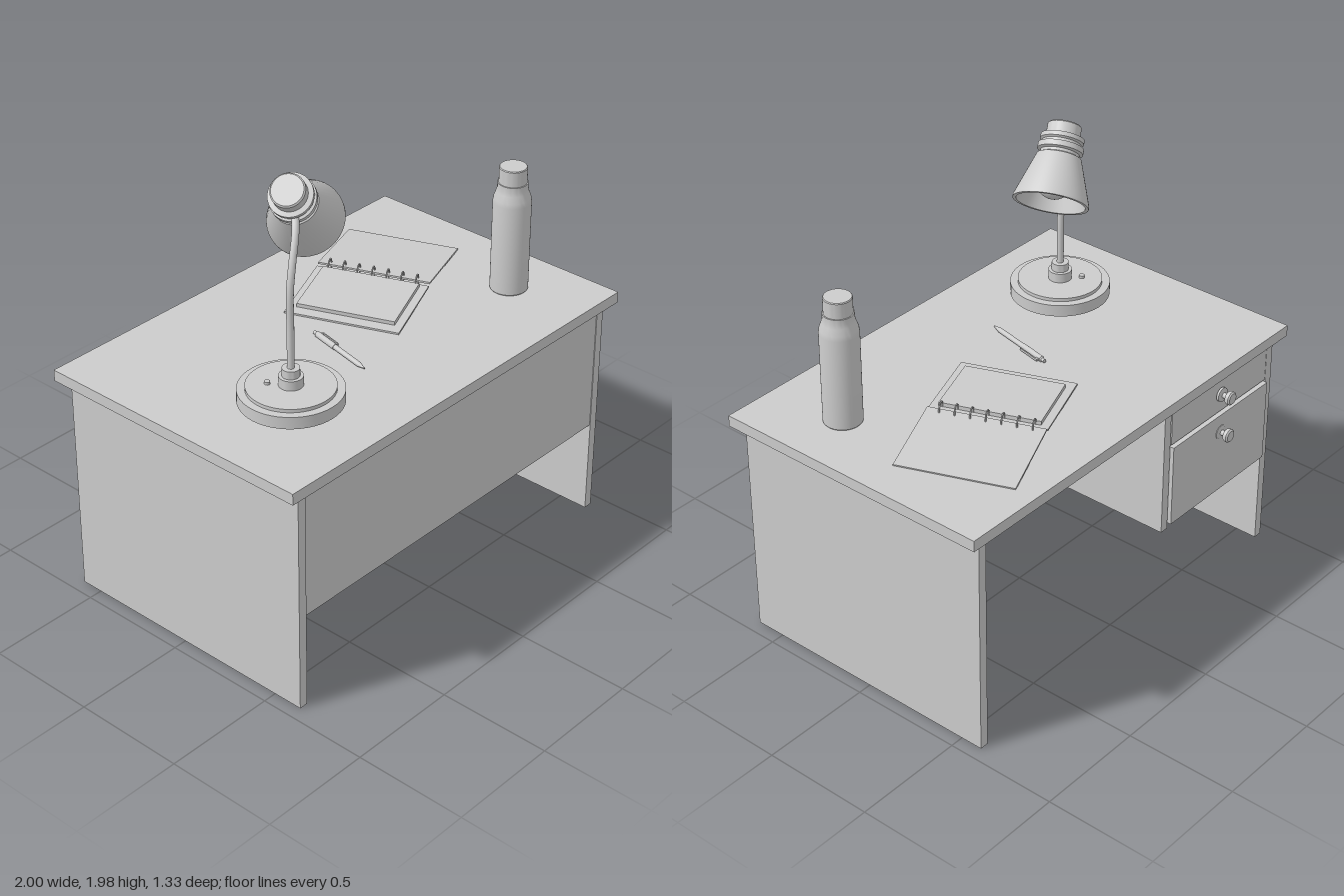
import * as THREE from 'three';
import { toCreasedNormals } from 'three/addons/utils/BufferGeometryUtils.js';

const material = new THREE.MeshStandardMaterial({ color: 0xcccccc });

function add(parent, name, geometry, x = 0, y = 0, z = 0) {
  const mesh = new THREE.Mesh(geometry, material);
  mesh.name = name;
  mesh.position.set(x, y, z);
  parent.add(mesh);
  return mesh;
}

function group(parent, name, x = 0, y = 0, z = 0) {
  const g = new THREE.Group();
  g.name = name;
  g.position.set(x, y, z);
  parent.add(g);
  return g;
}

// Box given by its extents on each axis
function slab(parent, name, [x0, x1], [y0, y1], [z0, z1]) {
  return add(parent, name, new THREE.BoxGeometry(x1 - x0, y1 - y0, z1 - z0),
    (x0 + x1) / 2, (y0 + y1) / 2, (z0 + z1) / 2);
}

// Turned solid from [radius, height] points, with sharp edges kept
function turned(points, sides = 40) {
  const profile = points.map(([r, y]) => new THREE.Vector2(r, y));
  return toCreasedNormals(new THREE.LatheGeometry(profile, sides), 0.5);
}

function buildDesk(root) {
  const desk = group(root, 'desk');
  slab(desk, 'deskTop', [-1, 1], [1.01, 1.06], [-0.63, 0.665]);
  slab(desk, 'leftSidePanel', [0.9, 0.94], [0, 1.01], [-0.6, 0.635]);
  slab(desk, 'rightSidePanel', [-0.94, -0.9], [0, 1.01], [-0.6, 0.635]);
  slab(desk, 'frontPanel', [-0.9, 0.9], [0.43, 1.01], [0.6, 0.632]);

  // Drawer unit, opening to the back
  slab(desk, 'drawerDivider', [-0.24, -0.2], [0.415, 1.01], [-0.6, 0.6]);
  slab(desk, 'drawerFloor', [-0.9, -0.24], [0.44, 0.46], [-0.58, 0.6]);
  slab(desk, 'upperDrawer', [-0.895, -0.245], [0.83, 1.005], [-0.602, 0.5]);
  slab(desk, 'lowerDrawer', [-0.895, -0.245], [0.44, 0.82], [-0.615, 0.5]);
  const knob = turned([[0, 0], [0.032, 0], [0.032, 0.01], [0.012, 0.014], [0.012, 0.032],
    [0.026, 0.036], [0.03, 0.044], [0.03, 0.054], [0.024, 0.06], [0, 0.06]], 24);
  for (const y of [0.92, 0.735]) {
    add(desk, 'drawerKnob', knob, -0.57, y, -0.608).rotation.x = -Math.PI / 2;
  }
}

function buildLamp(root) {
  const lamp = group(root, 'lamp');
  const x = -0.562, z = 0.25;
  add(lamp, 'lampBase', turned([[0, 1.09], [0.213, 1.09], [0.213, 1.143], [0.18, 1.143],
    [0.18, 1.158], [0, 1.158]], 48), x, 0, z);
  add(lamp, 'stemCollar', turned([[0, 1.155], [0.05, 1.155], [0.05, 1.2], [0.036, 1.2],
    [0.036, 1.235], [0, 1.235]], 32), x, 0, z);
  add(lamp, 'switchButton', new THREE.CylinderGeometry(0.012, 0.012, 0.02, 16), -0.62, 1.16, 0.178);

  // Upright stem bending towards the head
  const path = new THREE.CatmullRomCurve3([
    [x, 1.2, z], [x, 1.4, z], [x, 1.57, z], [-0.54, 1.67, 0.242], [-0.485, 1.785, 0.21], [-0.44, 1.845, 0.165],
  ].map((p) => new THREE.Vector3(...p)));
  add(lamp, 'lampStem', new THREE.TubeGeometry(path, 32, 0.015, 14));

  // Head: hollow cone shade, stepped rings and cap on one axis
  const cap = new THREE.Vector3(-0.48, 1.94, 0.165);
  const axis = new THREE.Vector3(-0.21, 0.24, 0.1).normalize();
  const head = group(lamp, 'lampHead', cap.x, cap.y, cap.z);
  head.quaternion.setFromUnitVectors(new THREE.Vector3(0, 1, 0), axis);
  add(head, 'lampShade', turned([[0, -0.15], [0.08, -0.15], [0.142, -0.334], [0.156, -0.334],
    [0.156, -0.322], [0.092, -0.138], [0.08, -0.132], [0.08, -0.12], [0.094, -0.115], [0.094, -0.092],
    [0.08, -0.088], [0.08, -0.078], [0.09, -0.072], [0.09, -0.054], [0.07, -0.05], [0.07, -0.006],
    [0.064, 0], [0, 0]], 48));
  add(head, 'lightBulb', new THREE.SphereGeometry(0.075, 32, 20), 0, -0.24, 0);
  add(head, 'bulbSocket', new THREE.CylinderGeometry(0.04, 0.04, 0.06, 24), 0, -0.17, 0);
}

function buildBottle(root) {
  const bottle = group(root, 'bottle', 0.727, 1.06, 0.297);
  add(bottle, 'bottleBody', turned([[0, 0], [0.077, 0], [0.081, 0.005], [0.081, 0.41],
    [0.078, 0.43], [0.068, 0.458], [0.064, 0.475], [0.064, 0.498], [0, 0.498]], 48));
  add(bottle, 'bottleCap', turned([[0, 0.49], [0.059, 0.49], [0.059, 0.565], [0.056, 0.569], [0, 0.569]], 48));
}

function buildNotebook(root) {
  const book = group(root, 'notebook', 0.383, 1.06, -0.16);
  book.rotation.y = 0.375;

  // Covers slope down from the spine on both sides
  const left = group(book, 'leftHalf', -0.005, 0.028, 0);
  left.rotation.z = 0.045;
  slab(left, 'backCover', [-0.38, 0], [-0.008, 0], [-0.25, 0.25]);
  slab(left, 'pages', [-0.33, -0.02], [0, 0.017], [-0.215, 0.215]);
  const right = group(book, 'rightHalf', 0.008, 0.038, 0);
  right.rotation.z = -0.085;
  slab(right, 'frontCover', [0, 0.38], [-0.008, 0], [-0.25, 0.25]);

  // Binding rings
  const ring = new THREE.TorusGeometry(0.03, 0.0035, 8, 24);
  for (let i = 0; i < 7; i++) {
    add(book, 'bindingRing', ring, 0.002, 0.035, -0.195 + i * 0.065).rotation.y = 0.12;
  }
}

function buildPen(root) {
  const pen = group(root, 'pen', -0.182, 1.073, 0.292);
  pen.rotation.y = Math.atan2(0.075, -0.337);
  const body = turned([[0, 0], [0.003, 0], [0.005, 0.012], [0.011, 0.04], [0.011, 0.2],
    [0.013, 0.2], [0.013, 0.325], [0.008, 0.33], [0.008, 0.345], [0, 0.345]], 20);
  body.rotateX(Math.PI / 2);
  add(pen, 'penBody', body);
  slab(pen, 'penClip', [-0.024, -0.019], [-0.005, 0.005], [0.21, 0.32]);
  slab(pen, 'clipMount', [-0.024, -0.008], [-0.005, 0.005], [0.308, 0.32]);
}

export function createModel() {
  const root = new THREE.Group();
  root.name = 'deskWithAccessories';
  buildDesk(root);
  buildLamp(root);
  buildBottle(root);
  buildNotebook(root);
  buildPen(root);
  return root;
}
